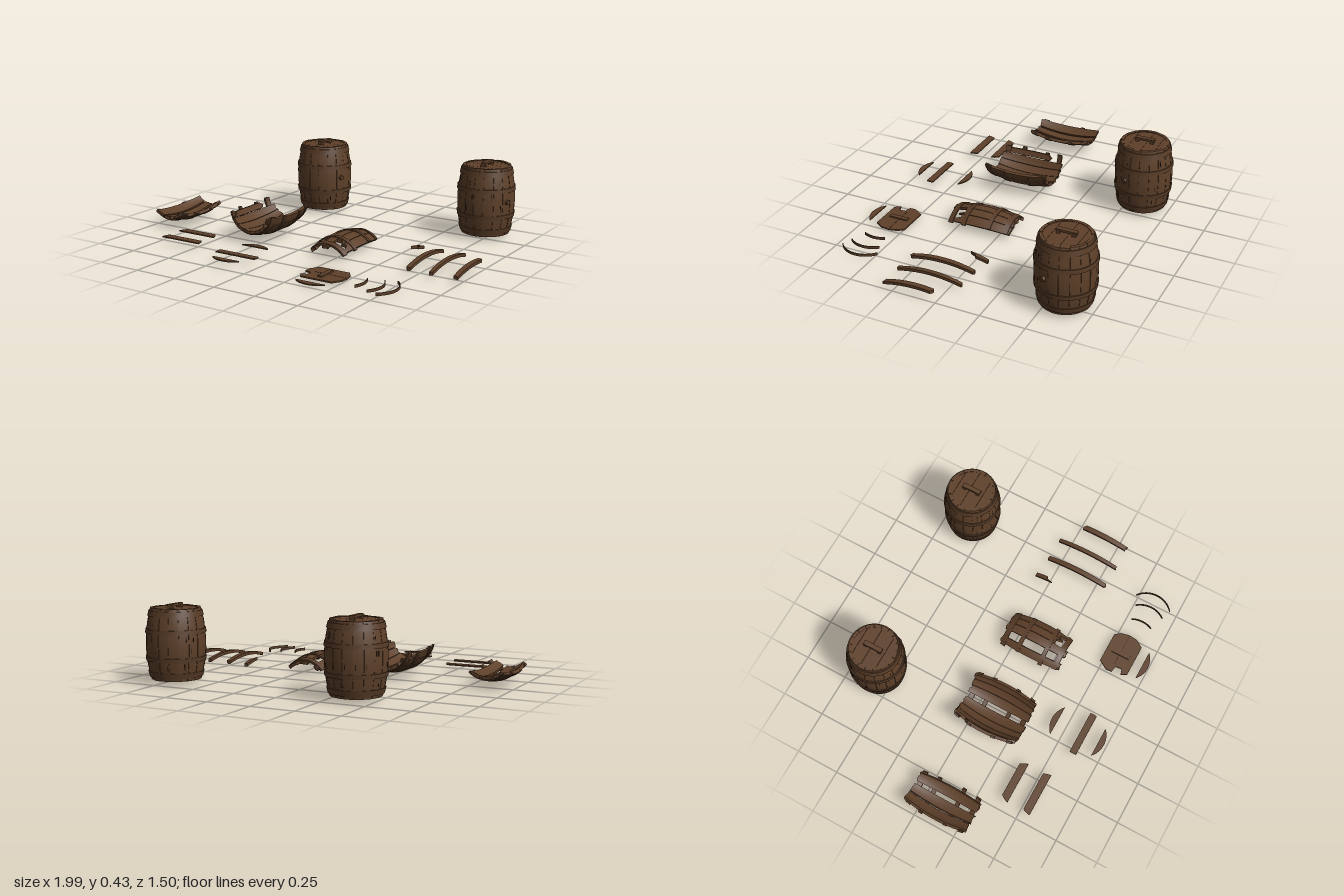
import * as THREE from 'three';

const wood = new THREE.MeshStandardMaterial({ color: 0x5e4029 });
wood.name = 'wood';
const hoopWood = new THREE.MeshStandardMaterial({ color: 0x573b26 });
hoopWood.name = 'hoop';
const dark = new THREE.MeshStandardMaterial({ color: 0x1f150d });
dark.name = 'crack';

let seed = 7;
const rand = () => (seed = (seed * 16807) % 2147483647) / 2147483647;

const HALF = 0.195; // half the barrel height
const bulge = (h) => 0.163 - 0.027 * (h / HALF) ** 2;

function add(parent, name, geometry, material, x = 0, y = 0, z = 0) {
  const mesh = new THREE.Mesh(geometry, material);
  mesh.name = name;
  mesh.position.set(x, y, z);
  parent.add(mesh);
  return mesh;
}

// Curved slab wrapped around the y axis: angles a0..a1, heights h0..h1.
// jag0 and jag1 splinter the lower and upper ends inward.
function panel(a0, a1, h0, h1, { radius = bulge, lift = 0, thick = 0.018, jag0 = 0, jag1 = 0 } = {}) {
  const cols = Math.max(2, Math.ceil((a1 - a0) / 0.12));
  const rows = Math.max(1, Math.ceil((h1 - h0) / 0.04));
  const geo = new THREE.BoxGeometry(1, 1, 1, cols, rows, 1);
  const cut0 = [], cut1 = [];
  for (let i = 0; i <= cols; i++) {
    cut0.push(h0 + jag0 * rand());
    cut1.push(h1 - jag1 * rand());
  }
  const p = geo.attributes.position;
  for (let i = 0; i < p.count; i++) {
    const u = p.getX(i) + 0.5, v = p.getY(i) + 0.5, w = p.getZ(i) + 0.5;
    const c = Math.round(u * cols);
    const a = THREE.MathUtils.lerp(a0, a1, u);
    const h = THREE.MathUtils.lerp(cut0[c], cut1[c], v);
    const r = radius(h) + lift - thick * (1 - w);
    p.setXYZ(i, r * Math.sin(a), h, r * Math.cos(a));
  }
  geo.computeVertexNormals();
  return geo;
}

// Flat board from outline points [x, z], lying on y = 0
function board(points, thick) {
  const shape = new THREE.Shape(points.map(([x, z]) => new THREE.Vector2(x, -z)));
  return new THREE.ExtrudeGeometry(shape, { depth: thick, bevelEnabled: false }).rotateX(-Math.PI / 2);
}

// Strip of a round lid between z0 and z1
function lidStrip(z0, z1, R, thick) {
  const right = [], left = [];
  for (let i = 0; i <= 8; i++) {
    const t = THREE.MathUtils.lerp(Math.asin(z0 / R), Math.asin(z1 / R), i / 8);
    const x = Math.max(R * Math.cos(t), 0.001);
    right.push([x, R * Math.sin(t)]);
    left.unshift([-x, R * Math.sin(t)]);
  }
  return board([...right, ...left], thick);
}

const hoopBands = [[-0.165, 0.03], [-0.08, 0.024], [0.07, 0.024], [0.165, 0.03]];

function addHoops(parent, a0, a1, ragged) {
  for (const [h, width] of hoopBands) {
    const s = ragged ? 0.12 : 0;
    add(parent, 'hoop', panel(a0 + s * rand(), a1 - s * rand(), h - width / 2, h + width / 2,
      { lift: 0.004, thick: 0.012 }), hoopWood);
  }
}

function barrel(x, z) {
  const g = new THREE.Group();
  g.name = 'barrel';
  g.position.set(x, 0.215, z);
  const n = 18, step = (Math.PI * 2) / n;
  for (let i = 0; i < n; i++) {
    add(g, 'stave', panel(i * step + 0.006, (i + 1) * step - 0.006, -HALF, HALF - 0.004 * rand(),
      { lift: -0.002 * rand() }), wood);
  }
  // backing behind the stave joints
  add(g, 'innerWall', panel(0, Math.PI * 2, -HALF + 0.006, HALF - 0.01, { lift: -0.006, thick: 0.008 }), wood);
  addHoops(g, 0, Math.PI * 2, false);
  // lid and base made of strips
  const R = 0.126, cuts = [-R, -0.085, -0.012, 0.07, R];
  for (let i = 0; i < 4; i++) {
    add(g, 'lidBoard', lidStrip(cuts[i] + 0.0007, cuts[i + 1] - 0.0007, R, 0.012), wood, 0, HALF - 0.018, 0);
    add(g, 'baseBoard', lidStrip(cuts[i], cuts[i + 1], R, 0.012), wood, 0, -HALF + 0.004, 0);
  }
  // lid handle on two feet
  add(g, 'lidHandle', new THREE.BoxGeometry(0.026, 0.012, 0.11), wood, 0, 0.207, 0);
  for (const s of [-1, 1]) add(g, 'handleFoot', new THREE.BoxGeometry(0.03, 0.02, 0.02), wood, 0, 0.197, s * 0.042);
  // bung on the left side
  const bung = add(g, 'bung', new THREE.CylinderGeometry(0.013, 0.015, 0.02, 12), hoopWood, 0.155, 0.005, 0.055);
  bung.rotation.z = -Math.PI / 2;
  bung.rotation.y = -0.34;
  // cracks in the wood
  for (let i = 0; i < 22; i++) {
    const a = rand() * 6.28, h = [-0.135, -0.045, 0.02, 0.1][i % 4];
    add(g, 'crack', panel(a, a + 0.022, h, h + 0.012 + 0.025 * rand(), { lift: 0.0006, thick: 0.002 }), dark);
  }
  return g;
}

// Piece of broken barrel wall lying on its side; staves are [a0, a1, h0, h1]
function wallPiece(name, x, y, up, staves, hoopA) {
  const g = new THREE.Group();
  g.name = name;
  g.position.set(x, y, 0.115);
  g.rotation.x = up ? -Math.PI / 2 : Math.PI / 2;
  for (const [a0, a1, h0 = -HALF, h1 = HALF] of staves) {
    add(g, 'brokenStave', panel(a0, a1, h0, h1,
      { jag0: h0 > -HALF ? 0.06 : 0.012, jag1: h1 < HALF ? 0.06 : 0.012 }), wood);
  }
  if (hoopA) addHoops(g, -hoopA, hoopA, true);
  return g;
}

export function createModel() {
  const model = new THREE.Group();
  model.name = 'barrelsAndDebris';
  model.add(barrel(-0.375, -0.588), barrel(0.715, -0.588));

  // broken wall pieces
  model.add(wallPiece('smallBowlPiece', -0.872, 0.192, false,
    [[-0.74, -0.34], [-0.26, 0.13], [0.27, 0.68]], 0.86));
  model.add(wallPiece('largeBowlPiece', -0.29, 0.195, false,
    [[-1.3, -1.07, -0.15, 0.19], [-1.05, -0.73], [-0.71, -0.36], [-0.34, 0.07],
      [0.29, 0.65], [0.67, 1.0], [1.02, 1.3]], 1.42));
  model.add(wallPiece('archedPiece', 0.21, -0.062, true,
    [[-0.78, -0.5], [-0.2, 0.12], [0.14, 0.44, -0.14], [0.46, 0.8, -0.16]], 0.9));

  // loose staves
  for (const [x, w, h0, h1] of [[0.583, 0.08, 0.085, 0.21], [0.71, 0.09, -HALF, HALF],
    [0.842, 0.075, -HALF, HALF], [0.98, 0.095, -HALF, 0.115]]) {
    model.add(wallPiece('looseStave', x, -0.098, true, [[-w, w, h0, h1]], 0));
  }

  // loose lid boards: [x, y, z, strip from, strip to]
  for (const [x, y, z, z0, z1] of [[-0.577, 0.037, 0.455, -0.08, -0.035], [-0.577, 0.037, 0.575, -0.06, -0.015],
    [-0.155, 0.037, 0.536, -0.128, -0.093], [-0.153, 0.037, 0.605, -0.02, 0.02],
    [-0.155, 0.037, 0.608, 0.093, 0.128], [0.38, 0.01, 0.619, 0.093, 0.128]]) {
    add(model, 'looseLidBoard', lidStrip(z0, z1, 0.128, 0.007), wood, x, y, z);
  }

  // broken lid with its handle
  const lid = new THREE.Group();
  lid.name = 'brokenLid';
  lid.position.set(0.382, 0, 0.573);
  add(lid, 'lidPlate', board([[-0.09, -0.088], [0.09, -0.088], [0.115, -0.055], [0.126, -0.01], [0.122, 0.04],
    [0.092, 0.088], [-0.095, 0.088], [-0.115, 0.055], [-0.08, 0.045], [-0.083, 0.01], [-0.122, 0],
    [-0.123, -0.035]], 0.008), wood, 0, 0.01, 0);
  add(lid, 'lidHandle', new THREE.BoxGeometry(0.026, 0.008, 0.11), wood, 0, 0.022, 0);
  add(lid, 'handleFoot', new THREE.BoxGeometry(0.03, 0.01, 0.06), wood, 0, 0.005, 0);
  add(lid, 'seam', new THREE.BoxGeometry(0.19, 0.001, 0.002), dark, 0.02, 0.0183, -0.006);
  model.add(lid);

  // broken hoops: [centre x, centre z, half angle]
  for (const [x, z, a] of [[0.485, 0.593, 0.48], [0.59, 0.598, 0.7], [0.673, 0.595, 0.93]]) {
    add(model, 'looseHoop', panel(Math.PI / 2 - a, Math.PI / 2 + a, 0.01, 0.026,
      { radius: () => 0.137, thick: 0.004 }), hoopWood, x, 0, z);
  }
  return model;
}
